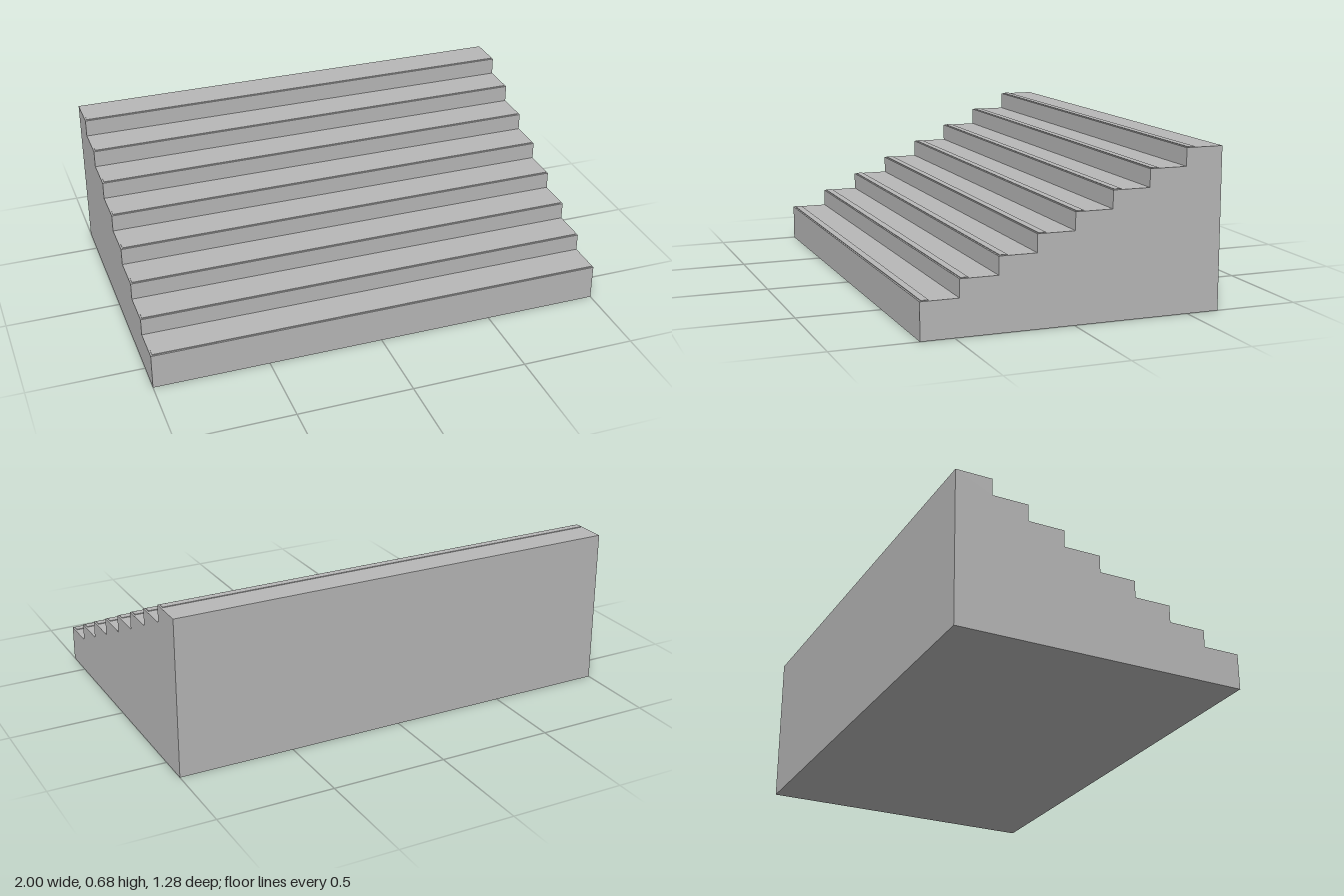
import * as THREE from 'three';

const STEPS = 8, TREAD = 0.16, RISE = 0.075, FIRST = 0.156;
const WIDTH = 2, DEPTH = STEPS * TREAD;

export function createModel() {
  const model = new THREE.Group();
  model.name = 'staircase';
  const concrete = new THREE.MeshStandardMaterial({ color: 0xb8b8b8 });
  concrete.name = 'concrete grey';

  // Solid flight: stepped side profile extruded across the width
  const profile = new THREE.Shape();
  profile.moveTo(-DEPTH / 2, 0);
  for (let i = 0; i < STEPS; i++) {
    const u = -DEPTH / 2 + i * TREAD, y = FIRST + i * RISE;
    profile.lineTo(u, y);
    profile.lineTo(u + TREAD, y);
  }
  profile.lineTo(DEPTH / 2, 0);
  profile.closePath();
  const geometry = new THREE.ExtrudeGeometry(profile, { depth: WIDTH, bevelEnabled: false });
  geometry.translate(0, 0, -WIDTH / 2);
  geometry.rotateY(Math.PI / 2); // profile x runs to the back (-z)
  const flight = new THREE.Mesh(geometry, concrete);
  flight.name = 'stepFlight';
  model.add(flight);

  // Thin grip strip just behind the front edge of every tread
  const stripGeometry = new THREE.BoxGeometry(WIDTH - 0.014, 0.003, 0.031);
  for (let i = 0; i < STEPS; i++) {
    const strip = new THREE.Mesh(stripGeometry, concrete);
    strip.name = 'gripStrip' + (i + 1);
    strip.position.set(0, FIRST + i * RISE + 0.0015, DEPTH / 2 - i * TREAD - 0.0225);
    model.add(strip);
  }
  return model;
}
